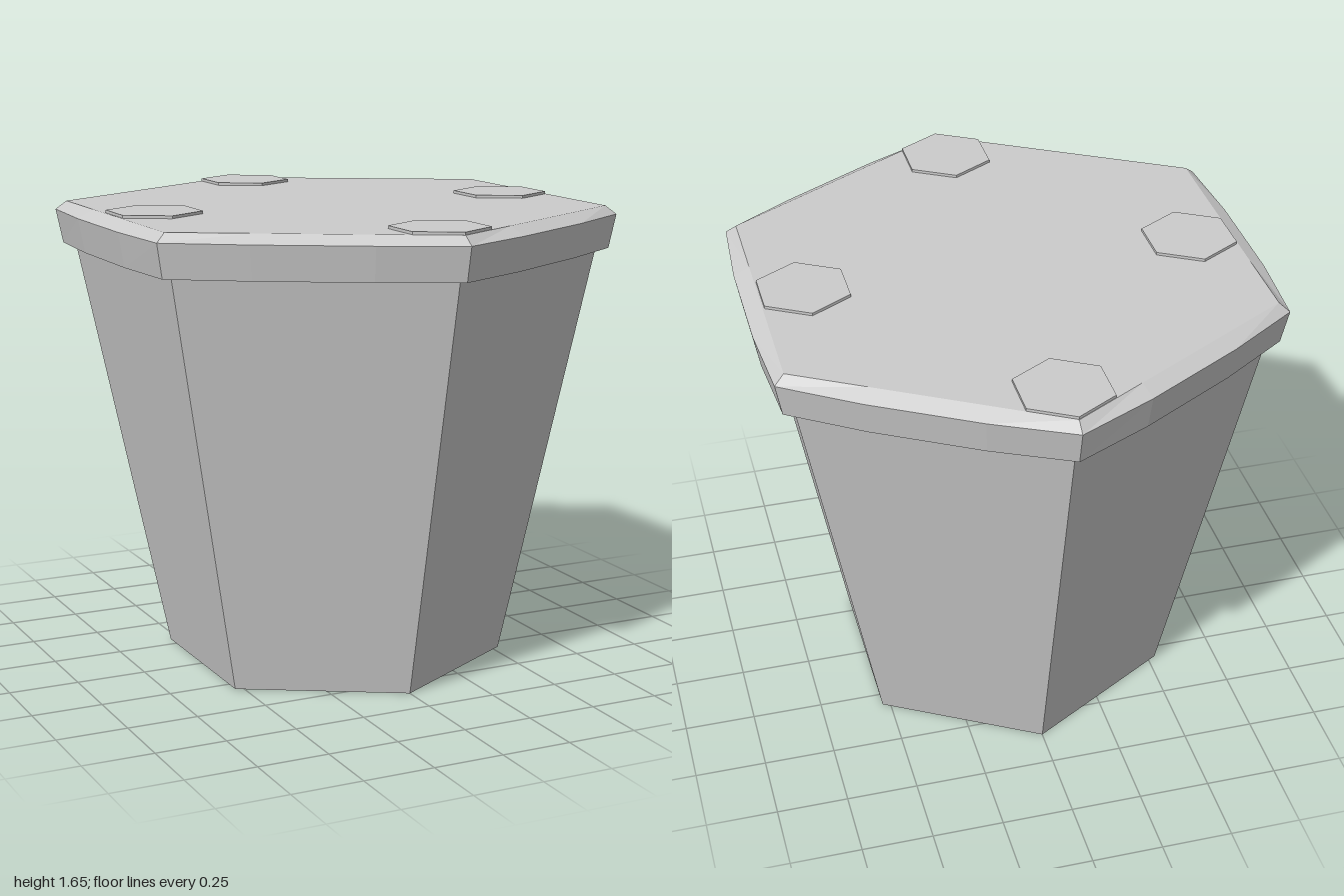
import * as THREE from 'three';

const SIDES = 6;
const material = (side = THREE.FrontSide) =>
  new THREE.MeshStandardMaterial({ color: 0xcccccc, flatShading: true, side });

// Hexagonal ring with a corner on +z; each side is pushed out by bulge between its corners
function hexRing(radius, bulge, y) {
  const points = [];
  const corner = (k) => {
    const a = (k * Math.PI * 2) / SIDES;
    return new THREE.Vector3(Math.sin(a) * radius, y, Math.cos(a) * radius);
  };
  for (let k = 0; k < SIDES; k++) {
    const mid = ((k + 0.5) * Math.PI * 2) / SIDES;
    const out = new THREE.Vector3(Math.sin(mid), 0, Math.cos(mid));
    for (const t of [0, 0.3, 0.7]) {
      points.push(corner(k).lerp(corner(k + 1), t).addScaledVector(out, t ? bulge : 0));
    }
  }
  return points;
}

// Joins successive rings with flat faces, from the inside of the underside up to the top centre
function loftRings(rings) {
  const positions = [];
  const triangle = (...corners) => corners.forEach((p) => positions.push(p.x, p.y, p.z));
  for (let r = 0; r < rings.length - 1; r++) {
    const low = rings[r];
    const high = rings[r + 1];
    low.forEach((p, i) => {
      const j = (i + 1) % low.length;
      triangle(p, low[j], high[j]);
      triangle(p, high[j], high[i]);
    });
  }
  const top = rings[rings.length - 1];
  const centre = new THREE.Vector3(0, top[0].y, 0);
  top.forEach((p, i) => triangle(p, top[(i + 1) % top.length], centre));
  const geometry = new THREE.BufferGeometry();
  geometry.setAttribute('position', new THREE.Float32BufferAttribute(positions, 3));
  geometry.computeVertexNormals();
  return geometry;
}

export function createModel() {
  const model = new THREE.Group();
  const add = (name, geometry, x, y, z, side) => {
    const mesh = new THREE.Mesh(geometry, material(side));
    mesh.name = name;
    mesh.position.set(x, y, z);
    model.add(mesh);
  };

  // Tapered hollow body, open underneath
  const bodyHeight = 1.49;
  add('body', new THREE.CylinderGeometry(0.93, 0.61, bodyHeight, SIDES, 1, true),
    0, bodyHeight / 2, 0, THREE.DoubleSide);

  // Overhanging lid: underside lip, flared rim with bowed sides, bevel and flat top
  add('lid', loftRings([
    hexRing(0.92, 0, 1.49),
    hexRing(0.975, 0.02, 1.49),
    hexRing(1, 0.02, 1.61),
    hexRing(0.96, 0, 1.64),
  ]), 0, 0, 0, THREE.DoubleSide);

  // Four thin hexagonal pads on the top
  const padHeight = 0.01;
  for (const [name, x, z] of [
    ['frontPad', 0, 0.79], ['backPad', 0, -0.79], ['leftPad', 0.68, 0], ['rightPad', -0.68, 0],
  ]) {
    add(name, new THREE.CylinderGeometry(0.168, 0.168, padHeight, SIDES), x, 1.64 + padHeight / 2, z);
  }
  return model;
}
